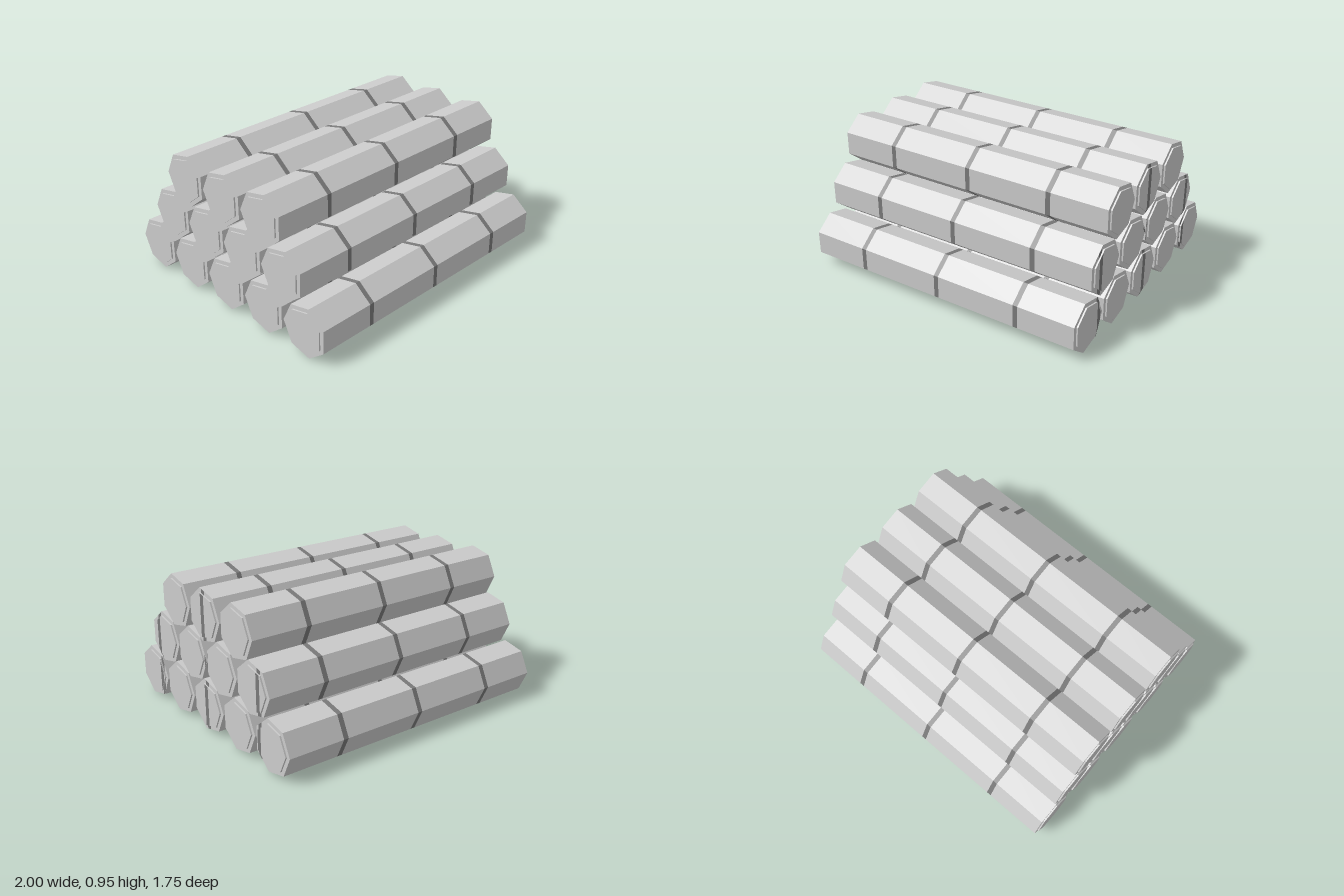
import * as THREE from 'three';

const R = 0.177, CAP_R = 0.148, BODY_END = 0.99, CAP_END = 1;

const wood = new THREE.MeshStandardMaterial({ color: 0xcccccc });
wood.name = 'light grey';
const dark = new THREE.MeshStandardMaterial({ color: 0x7a7a7a });
dark.name = 'dark grey';

// Seven-sided bar along x from x0 to x1, with one corner pointing to -z
function heptBar(radius, x0, x1, open) {
  const geo = new THREE.CylinderGeometry(radius, radius, x1 - x0, 7, 1, open, Math.PI)
    .rotateZ(-Math.PI / 2)
    .translate((x0 + x1) / 2, 0, 0)
    .toNonIndexed();
  geo.computeVertexNormals();
  return geo;
}

// Keep the part of a polygon where side * (x - limit) >= 0
function clip(points, limit, side) {
  const out = [];
  points.forEach((p, i) => {
    const q = points[(i + 1) % points.length];
    const a = side * (p.x - limit), b = side * (q.x - limit);
    if (a >= 0) out.push(p);
    if (a * b < 0) out.push(p.clone().lerp(q, a / (a - b)));
  });
  return out;
}

// Flat vertical stripe on an end face, cut to the seven-sided outline
function endStripe(radius, x, zMin, zMax) {
  let pts = [];
  for (let i = 0; i < 7; i++) {
    const a = (i / 7) * Math.PI * 2;
    pts.push(new THREE.Vector2(Math.cos(a) * radius, Math.sin(a) * radius));
  }
  pts = clip(clip(pts, -zMax, 1), -zMin, -1); // shape x is -z
  if (pts.length < 3) return null;
  return new THREE.ShapeGeometry(new THREE.Shape(pts)).rotateY(Math.PI / 2).translate(x, 0, 0);
}

// Lengthwise pieces: start, end, material
const pieces = [
  [-BODY_END, -0.604, wood], [-0.604, -0.572, dark], [-0.572, -0.016, wood], [-0.016, 0.016, dark],
  [0.016, 0.569, wood], [0.569, 0.603, dark], [0.603, BODY_END, wood],
];
const stripes = [[0.583, 0.618], [-0.007, 0.03], [-0.597, -0.562]];

function makeLog(y, z) {
  const log = new THREE.Group();
  log.name = 'log';
  const add = (name, geo, mat) => {
    const mesh = new THREE.Mesh(geo, mat);
    mesh.name = name;
    log.add(mesh);
  };
  // Body and its bands
  for (const [a, b, mat] of pieces) {
    const atEnd = Math.abs(a) === BODY_END || Math.abs(b) === BODY_END;
    add(mat === dark ? 'band' : 'body', heptBar(R, a, b, !atEnd), mat);
  }
  // Raised end caps
  add('leftCap', heptBar(CAP_R, BODY_END - 0.01, CAP_END, false), wood);
  add('rightCap', heptBar(CAP_R, -CAP_END, -BODY_END + 0.01, false), wood);
  // Painted stripes across the +x end
  for (const [lo, hi] of stripes) {
    for (const [r, x] of [[R, BODY_END], [CAP_R, CAP_END]]) {
      const geo = endStripe(r, x + 0.001, lo - z, hi - z);
      if (geo) add('endStripe', geo, dark);
    }
  }
  log.position.set(0, y, z);
  return log;
}

export function createModel() {
  const model = new THREE.Group();
  model.name = 'logPile';
  // Rows of the pile: count, height, middle, spacing
  const rows = [[5, 0.173, 0.009, 0.3535], [4, 0.473, 0.01, 0.3465], [3, 0.774, 0.009, 0.3535]];
  for (const [count, y, mid, step] of rows) {
    for (let i = 0; i < count; i++) model.add(makeLog(y, mid + (i - (count - 1) / 2) * step));
  }
  return model;
}
